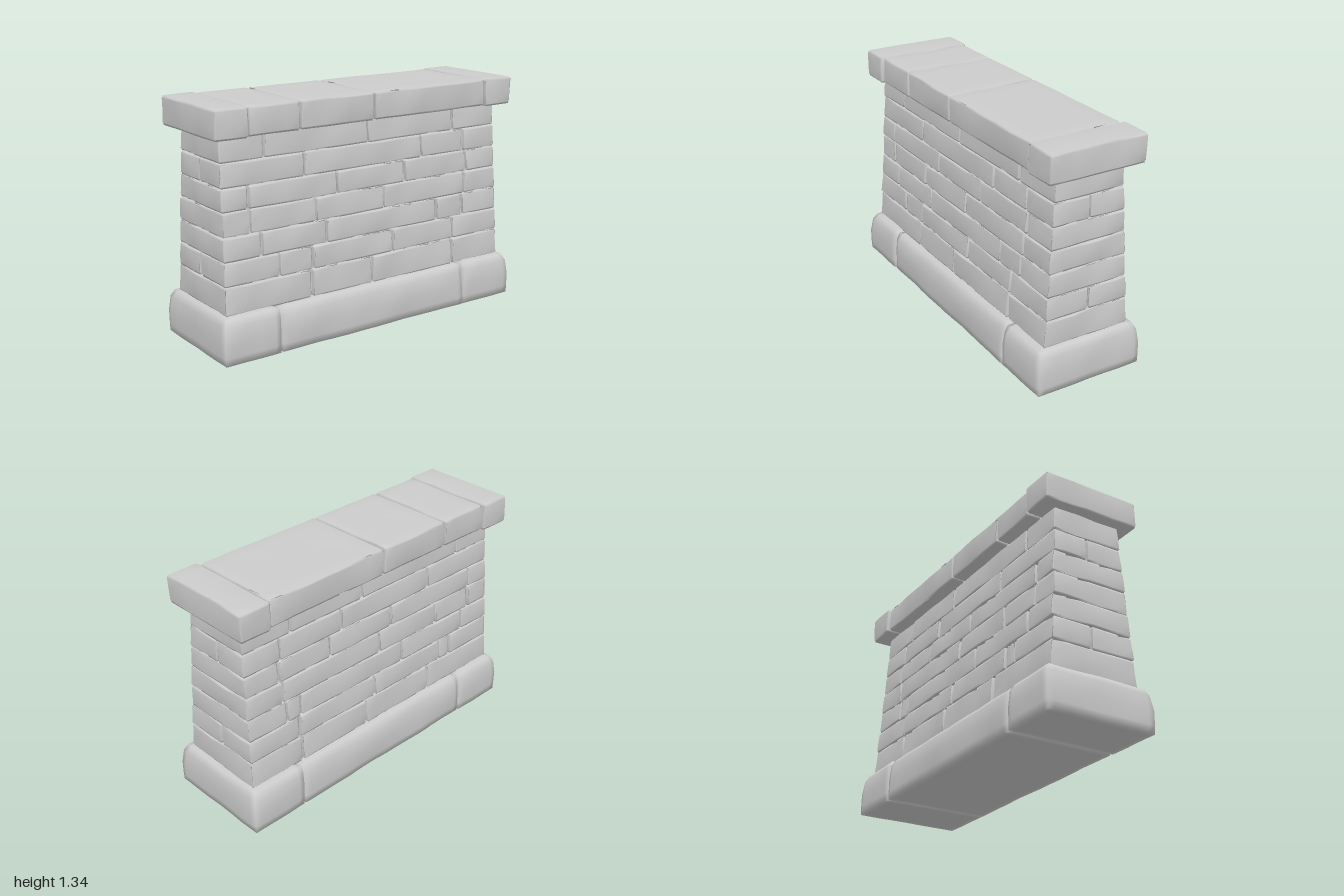
import * as THREE from 'three';
import { mergeVertices } from 'three/addons/utils/BufferGeometryUtils.js';

const stoneGrey = new THREE.MeshStandardMaterial({ color: 0xcccccc });
stoneGrey.name = 'stone grey';

// Grid lines across one axis: a narrow strip at each edge, even steps between
function gridLines(a, b, edge, step) {
  const n = Math.max(2, Math.round((b - a - 2 * edge) / step));
  const lines = [a];
  for (let i = 0; i <= n; i++) lines.push(a + edge + ((b - a - 2 * edge) * i) / n);
  lines.push(b);
  return lines;
}

// Smooth, repeatable unevenness from 0 to 1
function unevenness(a, b, seed) {
  const n = Math.sin(a * 9 + seed * 2.3) * Math.sin(b * 17 + seed * 1.7) +
    0.6 * Math.sin(a * 21 + b * 13 + seed * 4.1);
  return 0.5 + n / 3.2;
}

let seed = 0;

// One hewn block with worn edges and slightly hollowed faces
function stone(name, min, max, { edge = 0.012, wear = 0.5, rough = 0.014, step = 0.08, warp } = {}) {
  seed++;
  const lines = [0, 1, 2].map((k) => gridLines(min[k], max[k], edge, step));
  const box = new THREE.BoxGeometry(1, 1, 1, ...lines.map((l) => l.length - 1));
  box.deleteAttribute('uv');
  box.deleteAttribute('normal');
  const geo = mergeVertices(box, 1e-5);
  const pos = geo.attributes.position;
  const v = new THREE.Vector3();
  for (let i = 0; i < pos.count; i++) {
    v.fromBufferAttribute(pos, i);
    const raw = v.toArray();
    const p = raw.map((c, k) => lines[k][Math.round((c + 0.5) * (lines[k].length - 1))]);
    const side = raw.map((c) => (Math.abs(c) > 0.4999 ? Math.sign(c) : 0));
    const onEdge = side.filter((s) => s !== 0).length > 1;
    const q = p.slice();
    for (let k = 0; k < 3; k++) {
      if (!side[k]) continue;
      const amount = k === 1 ? rough * 0.25 : rough;
      const dent = unevenness(p[k === 2 ? 0 : 2], p[k === 1 ? 0 : 1], seed + side[k] * 0.9);
      q[k] -= side[k] * (amount * dent + (onEdge ? edge * wear : 0));
    }
    v.fromArray(q);
    if (warp) warp(v);
    pos.setXYZ(i, v.x, v.y, v.z);
  }
  geo.computeVertexNormals();
  const mesh = new THREE.Mesh(geo, stoneGrey);
  mesh.name = name;
  return mesh;
}

// The wall leans inward as it rises
const HALF = 0.27;
function lean(v) {
  const t = (v.y - 0.25) / 0.93;
  v.x *= 1 - 0.23 * t;
  v.z *= 1 - 0.02 * t;
}

// The plinth has a sloping shoulder along its outer top edge and a flat foot
function shoulder(v) {
  const t = THREE.MathUtils.clamp((v.y - 0.19) / 0.05, 0, 1);
  if (Math.abs(v.x) > 0.25) v.x -= Math.sign(v.x) * 0.03 * t;
  if (Math.abs(v.z) > 0.95) v.z -= Math.sign(v.z) * 0.022 * t;
  if (v.y < 0.02) v.y = 0;
}

export function createModel() {
  const model = new THREE.Group();
  model.name = 'stoneWall';

  // Plinth
  const plinth = new THREE.Group();
  plinth.name = 'plinth';
  const plinthStyle = { edge: 0.045, wear: 0.15, rough: 0.01, step: 0.1, warp: shoulder };
  plinth.add(
    stone('plinthFront', [-0.332, 0, 0.64], [0.332, 0.252, 1.0], plinthStyle),
    stone('plinthMiddle', [-0.328, 0, -0.64], [0.328, 0.25, 0.65], plinthStyle),
    stone('plinthBack', [-0.332, 0, -1.0], [0.332, 0.252, -0.63], plinthStyle),
  );
  model.add(plinth);

  // Solid core closing the joints
  const core = new THREE.BoxGeometry(0.48, 1.0, 1.86);
  core.translate(0, 0.71, 0);
  const cp = core.attributes.position;
  const v = new THREE.Vector3();
  for (let i = 0; i < cp.count; i++) {
    v.fromBufferAttribute(cp, i);
    lean(v);
    cp.setXYZ(i, v.x, v.y, v.z);
  }
  core.computeVertexNormals();
  const coreMesh = new THREE.Mesh(core, stoneGrey);
  coreMesh.name = 'core';
  model.add(coreMesh);

  // Courses: bottom height, joints along z, and whether the ends are split in two
  const courses = [
    { y: 0.245, joints: [0.41, 0.0, -0.59], split: false },
    { y: 0.4, joints: [0.61, 0.4, -0.15, -0.6], split: true },
    { y: 0.53, joints: [0.72, 0.3, -0.48, -0.68], split: false },
    { y: 0.66, joints: [0.78, 0.37, -0.1, -0.7], split: false },
    { y: 0.79, joints: [0.79, 0.22, -0.25, -0.72], split: false },
    { y: 0.915, joints: [0.43, -0.38, -0.7], split: true },
    { y: 1.045, joints: [0.68, 0.0, -0.62], split: false },
  ];
  courses.forEach(({ y, joints, split }, row) => {
    const course = new THREE.Group();
    course.name = `course${row + 1}`;
    const top = row < courses.length - 1 ? courses[row + 1].y : 1.19;
    const style = { warp: lean };
    const last = joints.length - 1;
    const ends = [['front', joints[0], 0.955], ['back', -0.955, joints[last]]];
    for (const [label, z0, z1] of ends) {
      const spans = split ? [[-HALF, -0.008], [-0.008, HALF]] : [[-HALF, HALF]];
      for (const [x0, x1] of spans) {
        course.add(stone(`${label}EndStone`, [x0, y, z0], [x1, top, z1], style));
      }
    }
    // Face stones; the joints on the far side are staggered
    for (const s of [1, -1]) {
      const cuts = joints.map((z, i) =>
        (s < 0 && i > 0 && i < last ? z + (row % 2 ? 0.12 : -0.1) : z));
      for (let i = 0; i < last; i++) {
        const x = s > 0 ? [0, HALF] : [-HALF, 0];
        course.add(stone(s > 0 ? 'leftFaceStone' : 'rightFaceStone',
          [x[0], y, cuts[i + 1]], [x[1], top, cuts[i]], style));
      }
    }
    model.add(course);
  });

  // Coping
  const coping = new THREE.Group();
  coping.name = 'coping';
  const copingStyle = { edge: 0.014, rough: 0.012 };
  coping.add(
    stone('copingFront', [-0.302, 1.175, 0.797], [0.292, 1.337, 1.0], copingStyle),
    stone('copingBack', [-0.302, 1.175, -1.0], [0.292, 1.337, -0.797], copingStyle),
  );
  const cuts = [0.8, 0.48, 0, -0.8];
  for (let i = 0; i < 3; i++) {
    coping.add(stone('copingStone', [-0.285, 1.178, cuts[i + 1]], [0.278, 1.334, cuts[i]], copingStyle));
  }
  model.add(coping);

  return model;
}
